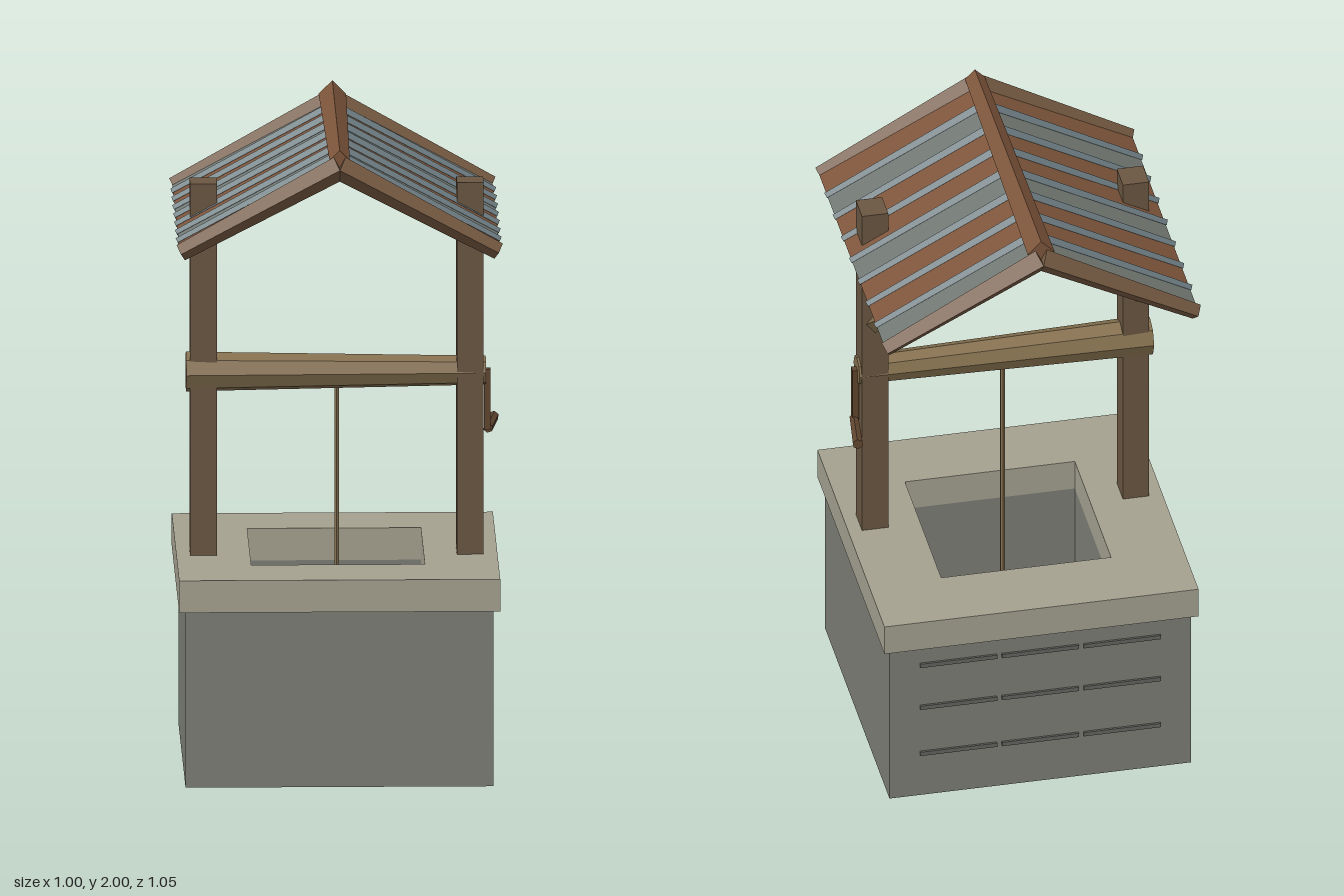
import * as THREE from 'three';

const COLORS = {
  stone: 0x7b7d75, cap: 0xa4a190, mortar: 0x62645e, water: 0x222727,
  post: 0x6a5642, log: 0x85704f, trim: 0x735840, shingle: 0x7e563c,
  slate: 0x727873, batten: 0x6b7b80, rope: 0x85704f, crank: 0x60462f,
};
const materials = {};
for (const key in COLORS) {
  materials[key] = new THREE.MeshStandardMaterial({ color: COLORS[key], flatShading: true });
}

export function createModel() {
  const model = new THREE.Group();
  model.name = 'well';

  const add = (name, geometry, mat, parent = model) => {
    const mesh = new THREE.Mesh(geometry, materials[mat]);
    mesh.name = name;
    parent.add(mesh);
    return mesh;
  };
  const box = (name, size, pos, mat, parent) => {
    const mesh = add(name, new THREE.BoxGeometry(...size), mat, parent);
    mesh.position.set(...pos);
    return mesh;
  };
  // Tapered bar from a to b; four sides give a diamond section
  const bar = (name, a, b, ra, rb, sides, mat, parent) => {
    const p = new THREE.Vector3(...a), q = new THREE.Vector3(...b);
    const dir = q.clone().sub(p);
    const mesh = add(name, new THREE.CylinderGeometry(rb, ra, dir.length(), sides), mat, parent);
    mesh.position.copy(p).add(q).multiplyScalar(0.5);
    mesh.quaternion.setFromUnitVectors(new THREE.Vector3(0, 1, 0), dir.normalize());
    return mesh;
  };
  // Square slab with a square opening
  const squareRing = (name, half, hole, y, height, mat) => {
    const square = (T, h) => new T([[-h, -h], [h, -h], [h, h], [-h, h]].map(c => new THREE.Vector2(...c)));
    const shape = square(THREE.Shape, half);
    shape.holes.push(square(THREE.Path, hole));
    const g = new THREE.ExtrudeGeometry(shape, { depth: height, bevelEnabled: false });
    g.rotateX(-Math.PI / 2);
    add(name, g, mat).position.y = y;
  };

  // Stone shaft, rim and the floor inside
  squareRing('wellWall', 0.47, 0.265, 0, 0.55, 'stone');
  squareRing('wellRim', 0.49, 0.265, 0.55, 0.1, 'cap');
  box('wellFloor', [0.53, 0.03, 0.53], [0, 0.045, 0], 'water');

  // Mortar strips on the back wall
  const strips = new THREE.Group();
  strips.name = 'mortarStrips';
  model.add(strips);
  for (const y of [0.155, 0.325, 0.48]) {
    for (const x of [-0.255, 0, 0.255]) {
      box('mortarStrip', [0.24, 0.014, 0.014], [x, y, -0.47], 'mortar', strips);
    }
  }

  // Posts with braces reaching back to the roof
  const postZ = 0.08;
  for (const s of [-1, 1]) {
    const side = s > 0 ? 'left' : 'right';
    box(side + 'Post', [0.082, 1.81, 0.09], [s * 0.407, 0.905, postZ], 'post');
    bar(side + 'Brace', [s * 0.407, 1.39, 0.06], [s * 0.407, 1.675, -0.31], 0.028, 0.019, 4, 'log');
  }

  // Winding log, rope and crank
  bar('windingLog', [-0.46, 1.215, postZ], [0.455, 1.215, postZ], 0.062, 0.045, 8, 'log');
  bar('rope', [0, 0.25, postZ], [0, 1.18, postZ], 0.008, 0.008, 6, 'rope');
  const crank = new THREE.Group();
  crank.name = 'crank';
  model.add(crank);
  box('crankArm', [0.02, 0.19, 0.024], [0.46, 1.125, postZ], 'crank', crank);
  bar('crankHandle', [0.462, 1.035, 0.085], [0.482, 1.04, -0.065], 0.015, 0.017, 6, 'crank', crank);

  // Roof: each slope is built along its own axis, then leaned from the ridge
  const ridgeY = 1.935, eaveX = 0.485, eaveY = 1.673;
  const length = Math.hypot(eaveX, ridgeY - eaveY);
  const slope = Math.atan2(ridgeY - eaveY, eaveX);
  for (const s of [-1, 1]) {
    const roof = new THREE.Group();
    roof.name = s > 0 ? 'leftRoofSlope' : 'rightRoofSlope';
    roof.position.y = ridgeY;
    roof.rotation.z = -s * slope;
    model.add(roof);
    // Planks in alternating colours
    for (let i = 0; i < 8; i++) {
      const z = -0.425 + i * 0.12;
      const mat = i % 3 === 0 ? 'slate' : 'shingle';
      box('roofPlank', [length, 0.016, 0.103], [s * length / 2, 0, z], mat, roof);
    }
    // Battens over the gaps
    for (let i = 0; i < 7; i++) {
      const z = -0.365 + i * 0.12;
      bar('roofBatten', [0, 0.009, z], [s * length * 1.005, 0.009, z], 0.016, 0.012, 4, 'batten', roof);
    }
    // Gable trim
    for (const z of [-0.485, 0.485]) {
      bar('gableTrim', [0, 0, z], [s * length, 0, z], 0.038, 0.027, 4, 'trim', roof);
    }
  }
  bar('ridgeBeam', [0, 1.958, -0.485], [0, 1.958, 0.485], 0.042, 0.031, 4, 'shingle');

  return model;
}
